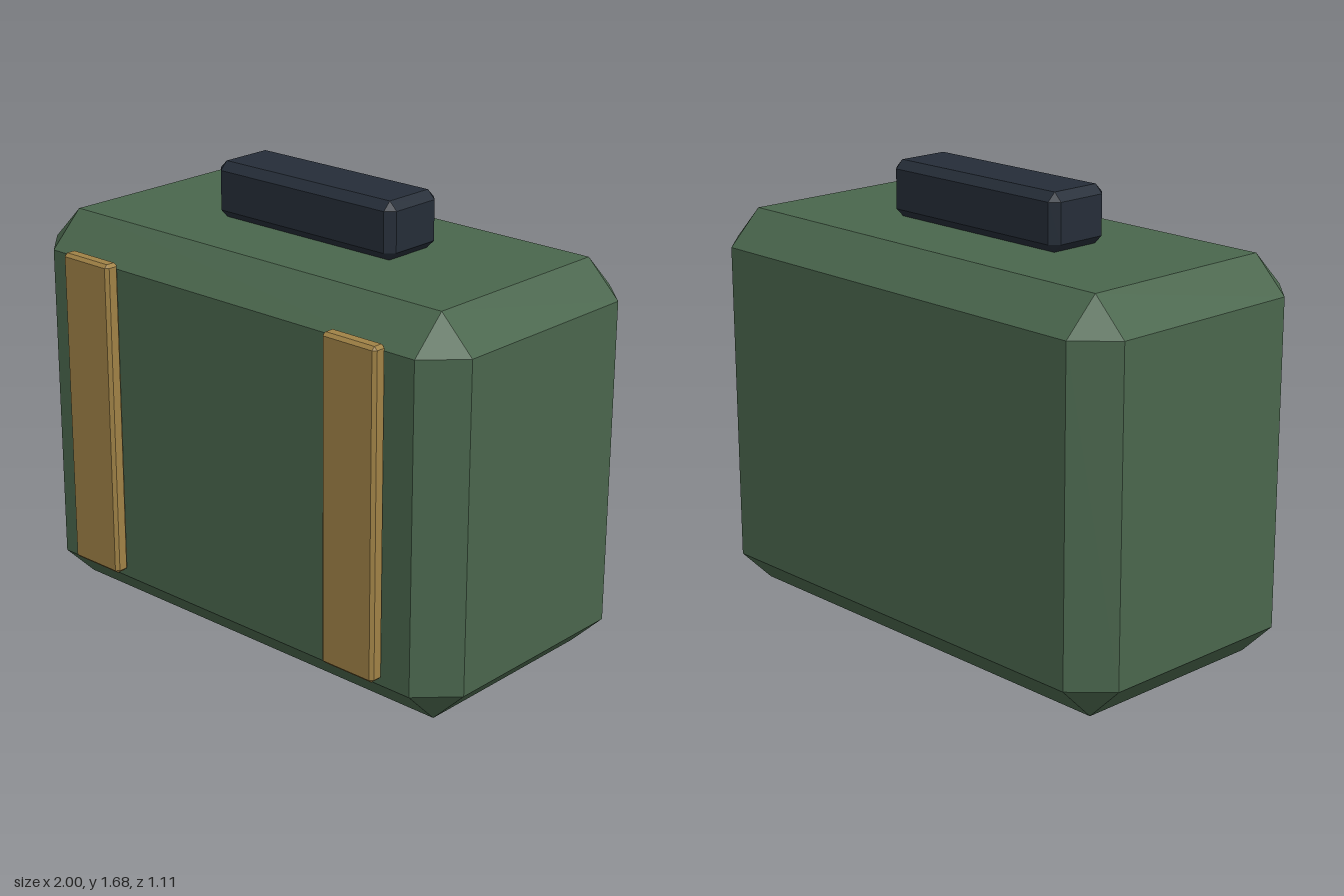
import * as THREE from 'three';
import { ConvexGeometry } from 'three/addons/geometries/ConvexGeometry.js';

// Box with flat chamfered edges and triangular corners
function chamferedBox(w, h, d, c) {
  const points = [];
  for (const x of [-1, 1]) for (const y of [-1, 1]) for (const z of [-1, 1]) {
    for (let axis = 0; axis < 3; axis++) {
      const inset = [c, c, c];
      inset[axis] = 0;
      points.push(new THREE.Vector3(
        x * (w / 2 - inset[0]), y * (h / 2 - inset[1]), z * (d / 2 - inset[2])));
    }
  }
  return new ConvexGeometry(points);
}

export function createModel() {
  const group = new THREE.Group();
  const material = (color) => new THREE.MeshStandardMaterial({ color, flatShading: true });
  const green = material(0x4a664d);
  const tan = material(0xa08246);
  const dark = material(0x252d38);

  const add = (name, size, chamfer, position, mat) => {
    const mesh = new THREE.Mesh(chamferedBox(...size, chamfer), mat);
    mesh.name = name;
    mesh.position.set(...position);
    group.add(mesh);
  };

  // Main case
  add('caseBody', [2, 1.474, 1.052], 0.131, [0, 0.737, -0.029], green);

  // Grip resting on the lid
  add('handle', [0.842, 0.21, 0.262], 0.031, [0, 1.579, -0.029], dark);

  // Front straps
  for (const [name, side] of [['leftStrap', 1], ['rightStrap', -1]]) {
    add(name, [0.236, 1.21, 0.058], 0.012, [side * 0.634, 0.765, 0.526], tan);
  }
  return group;
}
